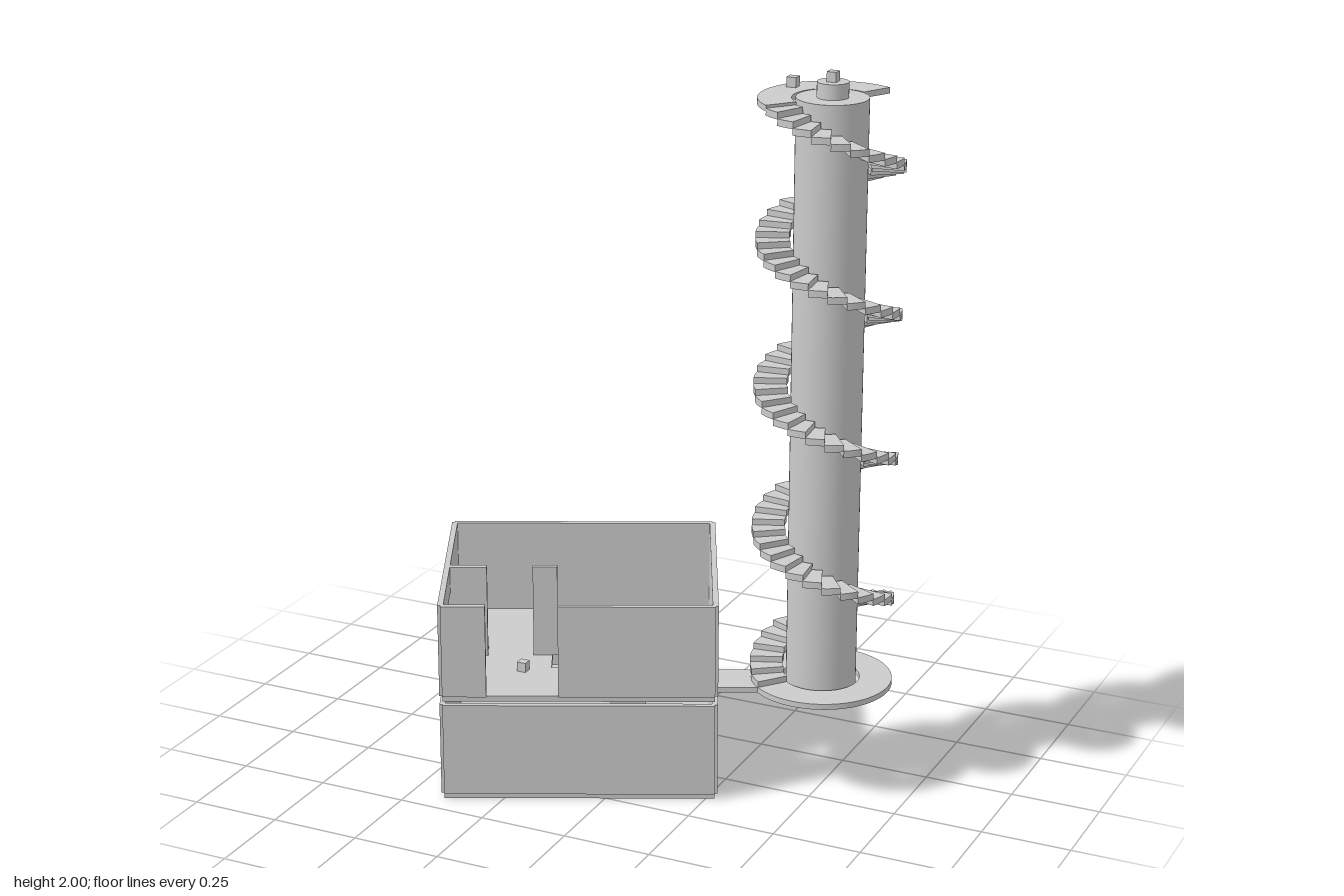
import * as THREE from 'three';

const mat = new THREE.MeshStandardMaterial({ color: 0xcccccc, flatShading: true });
const smooth = new THREE.MeshStandardMaterial({ color: 0xcccccc });
const deg = Math.PI / 180;

function add(parent, name, geo, x = 0, y = 0, z = 0, material = mat) {
  const m = new THREE.Mesh(geo, material);
  m.name = name;
  m.position.set(x, y, z);
  parent.add(m);
  return m;
}

// Box given by its extents on each axis
function block(parent, name, x0, x1, y0, y1, z0, z1) {
  return add(parent, name, new THREE.BoxGeometry(x1 - x0, y1 - y0, z1 - z0),
    (x0 + x1) / 2, (y0 + y1) / 2, (z0 + z1) / 2);
}

const path = (pts, Type = THREE.Shape) => new Type(pts.map(p => new THREE.Vector2(...p)));
const rect = (x0, x1, y0, y1) => [[x0, y0], [x1, y0], [x1, y1], [x0, y1]];

// Horizontal plate: shape (x, z), top face at local y = 0
function plate(shape, depth, curveSegments = 12) {
  return new THREE.ExtrudeGeometry(shape, { depth, bevelEnabled: false, curveSegments }).rotateX(Math.PI / 2);
}

// Ring sector between two angles, measured from +x towards +z
function sector(rIn, rOut, a0, a1, depth, segments) {
  const s = new THREE.Shape();
  s.absarc(0, 0, rOut, a0 * deg, a1 * deg, false);
  s.absarc(0, 0, rIn, a1 * deg, a0 * deg, true);
  s.closePath();
  return plate(s, depth, segments);
}

const HX = 0.37, HZ = 0.31, T = 0.016, WALL = 0.265, SLAB = 0.016;
const UPPER = 0.306; // upper floor level

// Upright wall panel centred on its thickness
function wall(parent, name, pts, y, x, z, side, hole) {
  const s = path(pts);
  if (hole) s.holes.push(path(hole, THREE.Path));
  const g = new THREE.ExtrudeGeometry(s, { depth: T, bevelEnabled: false }).translate(0, 0, -T / 2);
  const m = add(parent, name, g, x, y, z);
  if (side) m.rotation.y = -Math.PI / 2;
}

function buildHouse() {
  const house = new THREE.Group();
  house.name = 'house';
  const wide = rect(-HX, HX, 0, WALL), deep = rect(-HZ, HZ, 0, WALL);

  // Lower storey
  const y0 = SLAB;
  add(house, 'lowerFloor', plate(path(rect(-HX, HX, -HZ, HZ)), SLAB), 0, y0, 0);
  for (const s of [-1, 1]) {
    wall(house, s > 0 ? 'lowerFrontWall' : 'lowerBackWall', wide, y0, 0, s * HZ, false);
    wall(house, s > 0 ? 'lowerLeftWall' : 'lowerRightWall', deep, y0, s * HX, 0, true);
  }

  // Upper storey floor with stairwell
  const floor = path(rect(-HX, HX, -HZ, HZ));
  floor.holes.push(path(rect(-0.08, 0.18, -0.208, 0.117), THREE.Path));
  add(house, 'upperFloor', plate(floor, SLAB), 0, UPPER, 0);

  // Upper walls: open front entrance, long window, doorway to the bridge
  wall(house, 'upperBackWall', wide, UPPER, 0, -HZ, false);
  wall(house, 'upperFrontWall', rect(-HX, -0.25, 0, WALL), UPPER, 0, HZ, false);
  wall(house, 'upperFrontWall', rect(-0.055, HX, 0, WALL), UPPER, 0, HZ, false);
  wall(house, 'windowWall', deep, UPPER, -HX, 0, true, rect(-0.10, 0.29, 0.094, 0.189));
  wall(house, 'doorWall', [[-HZ, 0], [0.128, 0], [0.128, 0.225], [0.255, 0.225], [0.255, 0], [HZ, 0],
    [HZ, WALL], [-HZ, WALL]], UPPER, HX, 0, true);

  // Interior partitions and furniture
  const top = UPPER + WALL;
  block(house, 'partition', -HX, -0.26, UPPER, top, 0.02, 0.036);
  block(house, 'partition', -0.133, -0.065, UPPER, top, 0.018, 0.034);
  block(house, 'bench', -0.321, -0.283, UPPER, UPPER + 0.08, -0.188, -0.126);

  // Two-flight stair with a half landing
  const rise = (UPPER - SLAB) / 18, tread = 0.0259, mid = SLAB + 9 * rise;
  for (let i = 0; i < 8; i++) {
    const z = 0.0905 - i * tread, y = SLAB + (i + 1) * rise;
    block(house, 'lowerStep', 0.08, 0.18, y - rise, y, z - tread, z);
  }
  block(house, 'landing', -0.08, 0.18, mid - rise, mid, -0.208, -0.117);
  for (let i = 0; i < 9; i++) {
    const z = -0.117 + i * tread, y = mid + (i + 1) * rise;
    block(house, 'upperStep', -0.08, 0.025, y - rise - 0.004, y - 0.004, z, z + tread);
  }

  // Bridge to the tower
  block(house, 'bridge', HX, 0.50, UPPER - SLAB, UPPER - 0.001, 0.128, 0.247);

  house.position.x = -0.195;
  house.rotation.y = 25 * deg;
  return house;
}

function buildTower() {
  const tower = new THREE.Group();
  tower.name = 'tower';
  const R_IN = 0.106, R_OUT = 0.195, START = 129, STEP = 15, COUNT = 96;
  const rise = 1.616 / COUNT, base = UPPER - SLAB, head = 1.932;

  add(tower, 'column', new THREE.CylinderGeometry(0.096, 0.096, head - base, 48), 0, (head + base) / 2, 0, smooth);
  add(tower, 'columnCap', new THREE.CylinderGeometry(0.042, 0.042, 0.041, 32), 0, head + 0.0205, 0, smooth);
  block(tower, 'topCube', -0.013, 0.013, 1.973, 2, -0.013, 0.013);

  // Base ring around the column
  const ring = new THREE.Shape().absarc(0, 0, R_OUT, 0, Math.PI * 2);
  ring.holes.push(new THREE.Path().absarc(0, 0, R_IN, 0, Math.PI * 2));
  add(tower, 'baseRing', plate(ring, SLAB, 48), 0, UPPER, 0);

  // Spiral steps: four full turns
  const stepGeo = sector(R_IN, R_OUT, 0, STEP, rise + 0.002, 4);
  for (let i = 0; i < COUNT; i++) {
    const step = add(tower, 'spiralStep', stepGeo, 0, UPPER + (i + 1) * rise, 0);
    step.rotation.y = -(START + i * STEP) * deg;
  }

  // Top platform
  add(tower, 'topPlatform', sector(R_IN, R_OUT, START, 298, SLAB, 32), 0, 1.93, 0);
  block(tower, 'platformCube', -0.156, -0.129, 1.93, 1.957, -0.088, -0.061);

  tower.position.set(0.475, 0, -0.132);
  return tower;
}

export function createModel() {
  const model = new THREE.Group();
  model.name = 'houseWithSpiralTower';
  model.add(buildHouse(), buildTower());
  // Small cubes on the upper floor
  for (const [x, z] of [[-0.45, 0.112], [-0.28, 0.19], [-0.398, 0.246]])
    block(model, 'floorCube', x - 0.013, x + 0.013, UPPER, UPPER + 0.027, z - 0.013, z + 0.013);
  return model;
}
